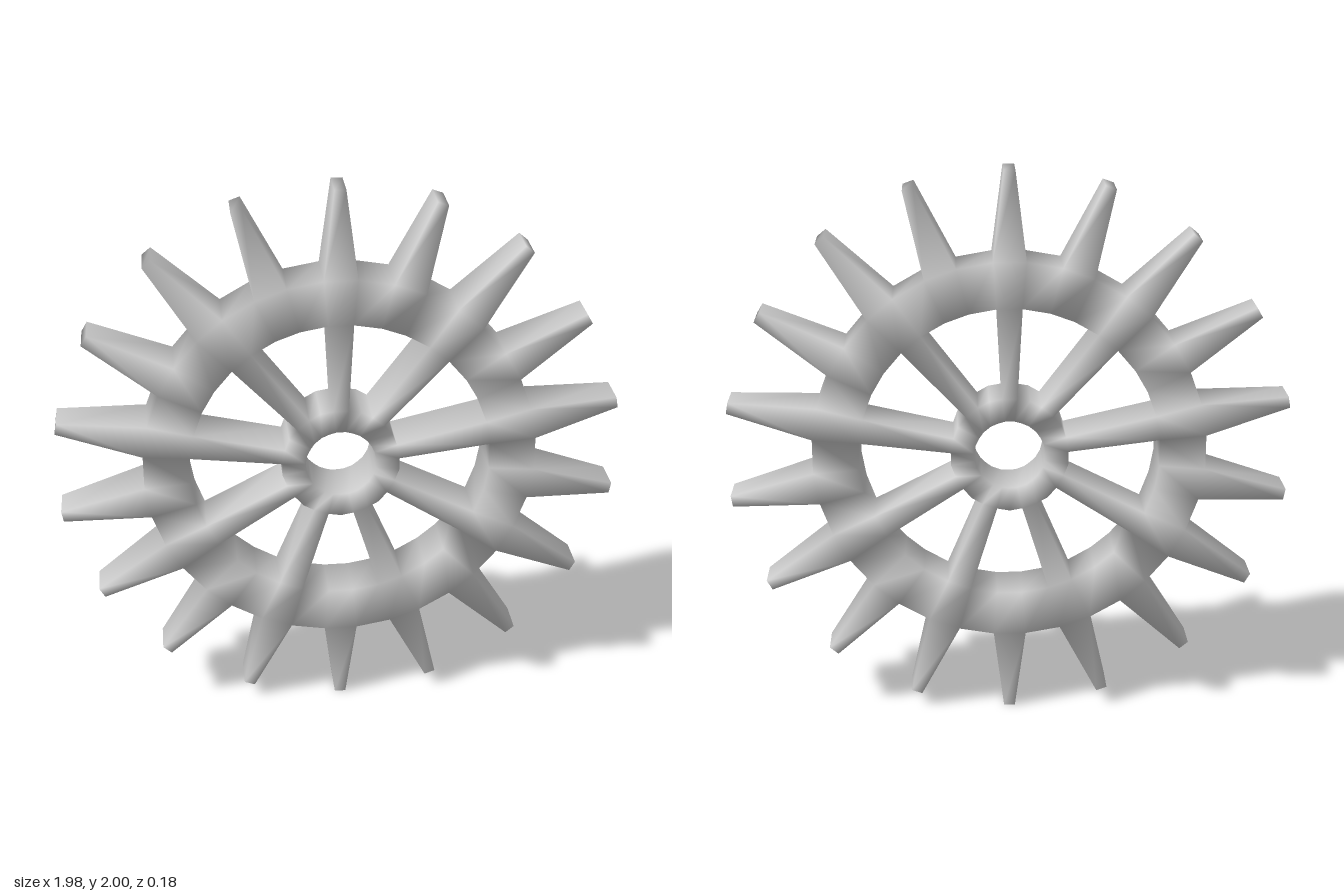
import * as THREE from 'three';

const TEETH = 18; // every second tooth sits on a spoke
const DEPTH = 0.092; // half thickness of the wheel
const TIP_DEPTH = 0.062; // half thickness at the tooth tips

export function createModel() {
  const wheel = new THREE.Group();
  wheel.name = 'spokedGearWheel';

  // Flat points shared by all parts, so that the shading flows from part to part
  const positions = [];
  const known = new Map();
  const edges = new Set();
  const parts = { hub: [], spokes: [], rim: [], teeth: [] };

  // Point in sector k: r along the tooth's axis, t sideways (clockwise)
  function point(k, t, r, depth = DEPTH) {
    const sector = (k + TEETH) % TEETH;
    const key = `${sector}/${t}/${r}`;
    if (!known.has(key)) {
      const a = (sector / TEETH) * Math.PI * 2;
      const x = r * Math.sin(a) + t * Math.cos(a);
      const y = 1 + r * Math.cos(a) - t * Math.sin(a);
      known.set(key, positions.length / 6);
      positions.push(x, y, depth, x, y, -depth);
    }
    return known.get(key);
  }

  // Counter-clockwise cell of the wheel's face
  function cell(part, a, b, c, d) {
    const corners = [a, b, c, d];
    parts[part].push(corners);
    corners.forEach((p, i) => edges.add(`${p}-${corners[(i + 1) % 4]}`));
  }

  // Half widths and radii: bore, hub edge, inner rim, outer rim, tooth tip
  const bore = (k, s) => point(k, s * 0.0165, 0.124);
  const hubEdge = (k, s) => point(k, s * 0.027, s ? 0.205 : 0.21);
  const rimIn = (k, s) => point(k, s * 0.044, 0.529);
  const rimOut = (k, s) => point(k, s * 0.058, 0.692);
  const tip = (k, s) => point(k, s * 0.02, 1, TIP_DEPTH);

  for (let k = 0; k < TEETH; k++) {
    cell('rim', rimIn(k, -1), rimIn(k, 1), rimOut(k, 1), rimOut(k, -1));
    cell('rim', rimIn(k, 1), rimIn(k + 1, -1), rimOut(k + 1, -1), rimOut(k, 1));
    cell('teeth', rimOut(k, -1), rimOut(k, 1), tip(k, 1), tip(k, -1));
    if (k % 2) continue;
    cell('spokes', hubEdge(k, -1), hubEdge(k, 1), rimIn(k, 1), rimIn(k, -1));
    cell('hub', bore(k, -1), bore(k, 1), hubEdge(k, 1), hubEdge(k, -1));
    cell('hub', bore(k, 1), bore(k + 1, 0), hubEdge(k + 1, 0), hubEdge(k, 1));
    cell('hub', bore(k + 1, 0), bore(k + 2, -1), hubEdge(k + 2, -1), hubEdge(k + 1, 0));
  }

  // Front and back faces of each cell, and a wall on every open edge
  function thicken(cells) {
    const index = [];
    const quad = (a, b, c, d) => index.push(a, b, c, a, c, d);
    for (const corners of cells) {
      const front = corners.map((p) => 2 * p);
      const back = corners.map((p) => 2 * p + 1);
      quad(...front);
      quad(...back.slice().reverse());
      corners.forEach((p, i) => {
        const j = (i + 1) % 4;
        if (!edges.has(`${corners[j]}-${p}`)) quad(back[i], back[j], front[j], front[i]);
      });
    }
    return index;
  }

  // Smooth normals over the whole wheel, shared by the part meshes
  const whole = new THREE.BufferGeometry();
  whole.setAttribute('position', new THREE.Float32BufferAttribute(positions, 3));
  whole.setIndex(thicken(Object.values(parts).flat()));
  whole.computeVertexNormals();

  const material = new THREE.MeshStandardMaterial({ color: 0xcccccc });
  for (const [name, cells] of Object.entries(parts)) {
    const geometry = new THREE.BufferGeometry();
    geometry.setAttribute('position', whole.getAttribute('position').clone());
    geometry.setAttribute('normal', whole.getAttribute('normal').clone());
    geometry.setIndex(thicken(cells));
    const mesh = new THREE.Mesh(geometry, material);
    mesh.name = name;
    wheel.add(mesh);
  }
  return wheel;
}
